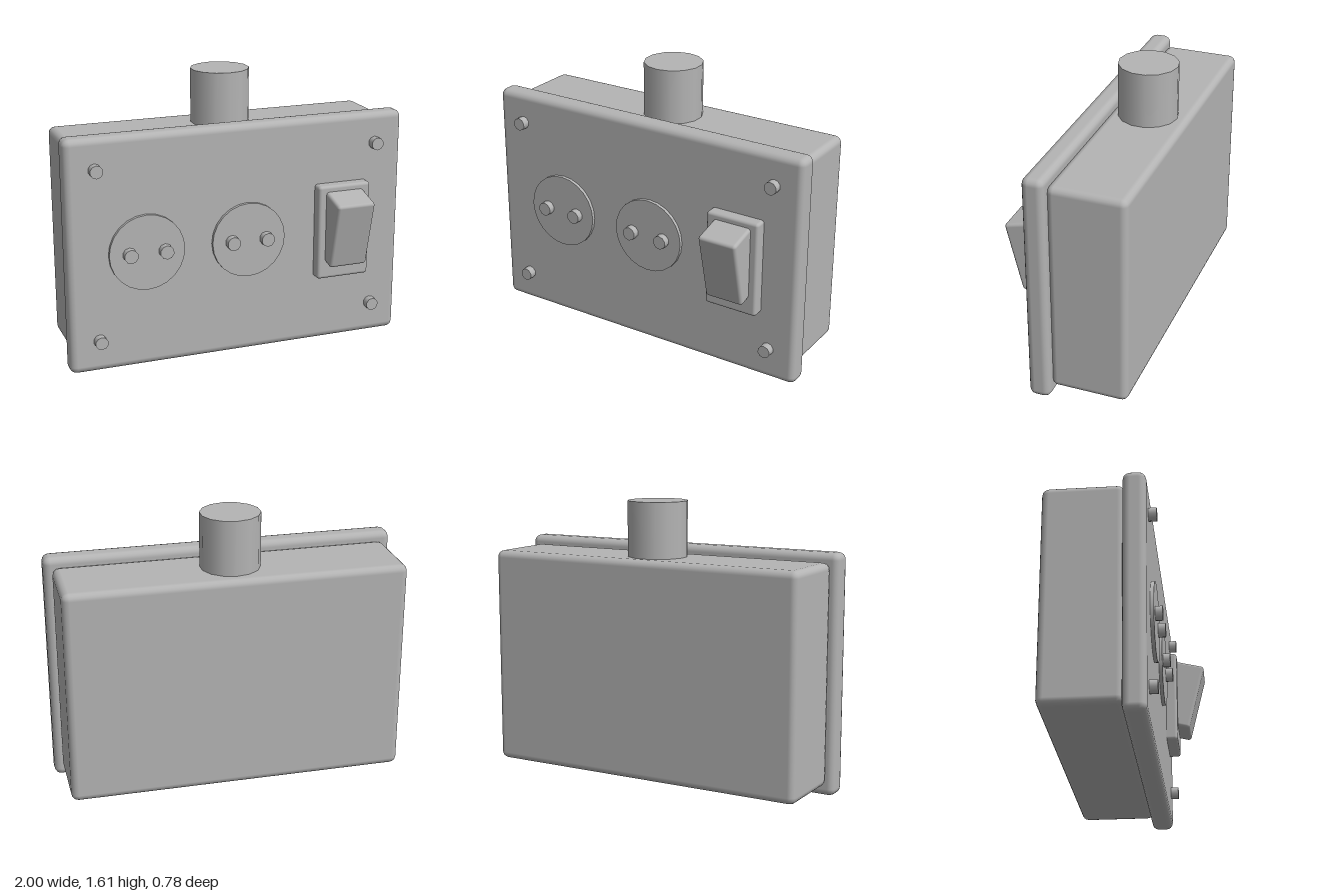
import * as THREE from 'three';
import { RoundedBoxGeometry } from 'three/addons/geometries/RoundedBoxGeometry.js';

export function createModel() {
  const model = new THREE.Group();
  model.name = 'wallOutletBox';
  const grey = new THREE.MeshStandardMaterial({ color: 0xb4b4b4 });
  grey.name = 'grey';

  const add = (name, geometry, x, y, z) => {
    const mesh = new THREE.Mesh(geometry, grey);
    mesh.name = name;
    mesh.position.set(x, y, z);
    model.add(mesh);
    return mesh;
  };
  // Rounded box given by its limits on each axis
  const box = (name, [x0, x1], [y0, y1], [z0, z1], radius) =>
    add(name, new RoundedBoxGeometry(x1 - x0, y1 - y0, z1 - z0, 2, radius),
      (x0 + x1) / 2, (y0 + y1) / 2, (z0 + z1) / 2);
  // Cylinder pointing forwards, from z0 to z1
  const disc = (name, x, y, z0, z1, radius, sides) =>
    add(name, new THREE.CylinderGeometry(radius, radius, z1 - z0, sides).rotateX(Math.PI / 2),
      x, y, (z0 + z1) / 2);

  // Housing, cover plate and conduit
  box('housing', [-0.955, 0.955], [0.06, 1.3], [-0.39, 0.05], 0.04);
  box('coverPlate', [-1, 1], [0, 1.35], [0.04, 0.165], 0.04);
  add('conduit', new THREE.CylinderGeometry(0.168, 0.168, 0.36, 14), 0, 1.43, -0.16);

  // Sockets with two pins each
  for (const x of [-0.55, 0.05]) {
    disc('socket', x, 0.68, 0.12, 0.185, 0.218, 24);
    for (const side of [-1, 1]) disc('socketPin', x + side * 0.103, 0.68, 0.15, 0.225, 0.04, 10);
  }

  // Corner screws
  for (const x of [-0.83, 0.83])
    for (const y of [0.187, 1.174]) disc('screw', x, y, 0.12, 0.21, 0.037, 10);

  // Rocker switch, tilted downwards
  box('switchBase', [0.46, 0.78], [0.4, 0.96], [0.1, 0.23], 0.018);
  const rocker = add('switchRocker', new RoundedBoxGeometry(0.23, 0.41, 0.24, 2, 0.018), 0.62, 0.714, 0.23);
  rocker.rotation.x = 0.24;

  return model;
}
